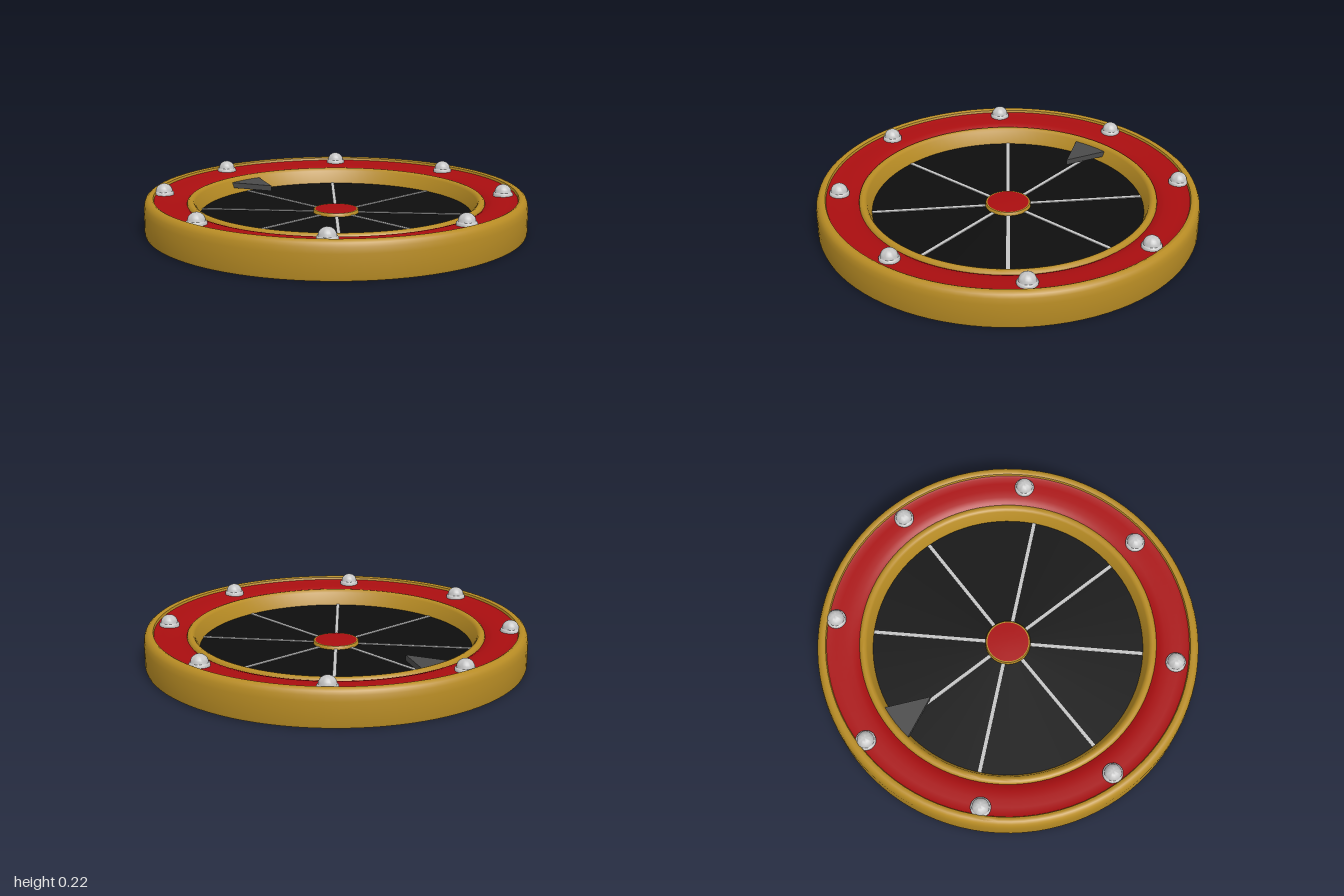
import * as THREE from 'three';
import { toCreasedNormals } from 'three/addons/utils/BufferGeometryUtils.js';

const paint = (name, color) => {
  const m = new THREE.MeshStandardMaterial({ color });
  m.name = name;
  return m;
};

export function createModel() {
  const model = new THREE.Group();
  model.name = 'wheel';
  const gold = paint('gold', 0xb88c24);
  const red = paint('red', 0xaa0e10);
  const black = paint('black', 0x0e0e0e);
  const silver = paint('silver', 0xc4c4c4);
  const darkGrey = paint('dark grey', 0x4a4a4a);

  const add = (name, geometry, material, parent = model) => {
    const mesh = new THREE.Mesh(geometry, material);
    mesh.name = name;
    parent.add(mesh);
    return mesh;
  };
  // Profiles are [radius, height], running outside-up and then inwards
  const lathe = (points, segments = 96, crease = 0.7) => toCreasedNormals(
    new THREE.LatheGeometry(points.map(([r, y]) => new THREE.Vector2(r, y)), segments), crease);

  // Base and rings
  add('base', lathe([[0, 0], [0.985, 0]]), red);
  add('outerRim', lathe([
    [0.985, 0], [0.997, 0.004], [1, 0.015], [1, 0.13], [0.996, 0.16], [0.988, 0.178],
    [0.975, 0.188], [0.962, 0.19], [0.951, 0.184], [0.945, 0.165]]), gold);
  add('redBand', lathe([
    [0.947, 0.172], [0.935, 0.168], [0.90, 0.167], [0.86, 0.166], [0.82, 0.162],
    [0.795, 0.155], [0.775, 0.143]]), red);
  add('innerRim', lathe([
    [0.78, 0.14], [0.777, 0.153], [0.768, 0.161], [0.757, 0.163], [0.746, 0.159],
    [0.738, 0.148], [0.715, 0.078]]), gold);

  // Sunken face
  add('face', lathe([[0.72, 0.079], [0, 0.079]]), black);

  // Thin dividing lines, each given by its outer end [x, z]
  const ends = [[0, -0.71], [0.49, -0.52], [0.714, 0.014], [0.46, 0.55],
    [0, 0.714], [-0.49, 0.52], [-0.714, -0.004], [-0.46, -0.55]];
  const dividers = new THREE.Group();
  dividers.name = 'dividers';
  model.add(dividers);
  for (const [x, z] of ends) {
    const line = add('divider', new THREE.BoxGeometry(Math.hypot(x, z), 0.005, 0.018), silver, dividers);
    line.position.set(x / 2, 0.08, z / 2);
    line.rotation.y = Math.atan2(-z, x);
  }

  // Hub
  add('hubRing', lathe([
    [0.12, 0.075], [0.12, 0.092], [0.116, 0.097], [0.108, 0.097]], 48), gold);
  add('hubCap', lathe([[0.109, 0.097], [0.06, 0.099], [0, 0.1]], 48), red);

  // Pointer
  const triangle = new THREE.Shape([
    new THREE.Vector2(-0.105, 0.74), new THREE.Vector2(0, 0.51), new THREE.Vector2(0.105, 0.74)]);
  const pointer = add('pointer',
    new THREE.ExtrudeGeometry(triangle, { depth: 0.03, bevelEnabled: false }), darkGrey);
  pointer.rotation.x = -Math.PI / 2;
  pointer.position.y = 0.11;

  // Domed studs around the red band
  const profile = [[0.052, 0.15], [0.052, 0.176], [0.049, 0.181], [0.044, 0.184]];
  for (let i = 1; i <= 6; i++) {
    const a = i / 6 * Math.PI / 2;
    profile.push([i === 6 ? 0 : 0.044 * Math.cos(a), 0.184 + 0.041 * Math.sin(a)]);
  }
  const stud = lathe(profile, 24, 0.8);
  const spots = [[0.01, -0.91], [0.64, -0.645], [0.89, -0.015], [0.63, 0.615],
    [0, 0.875], [-0.65, 0.595], [-0.895, -0.04], [-0.62, -0.665]];
  const studs = new THREE.Group();
  studs.name = 'studs';
  model.add(studs);
  for (const [x, z] of spots) add('stud', stud, silver, studs).position.set(x, 0, z);

  return model;
}
